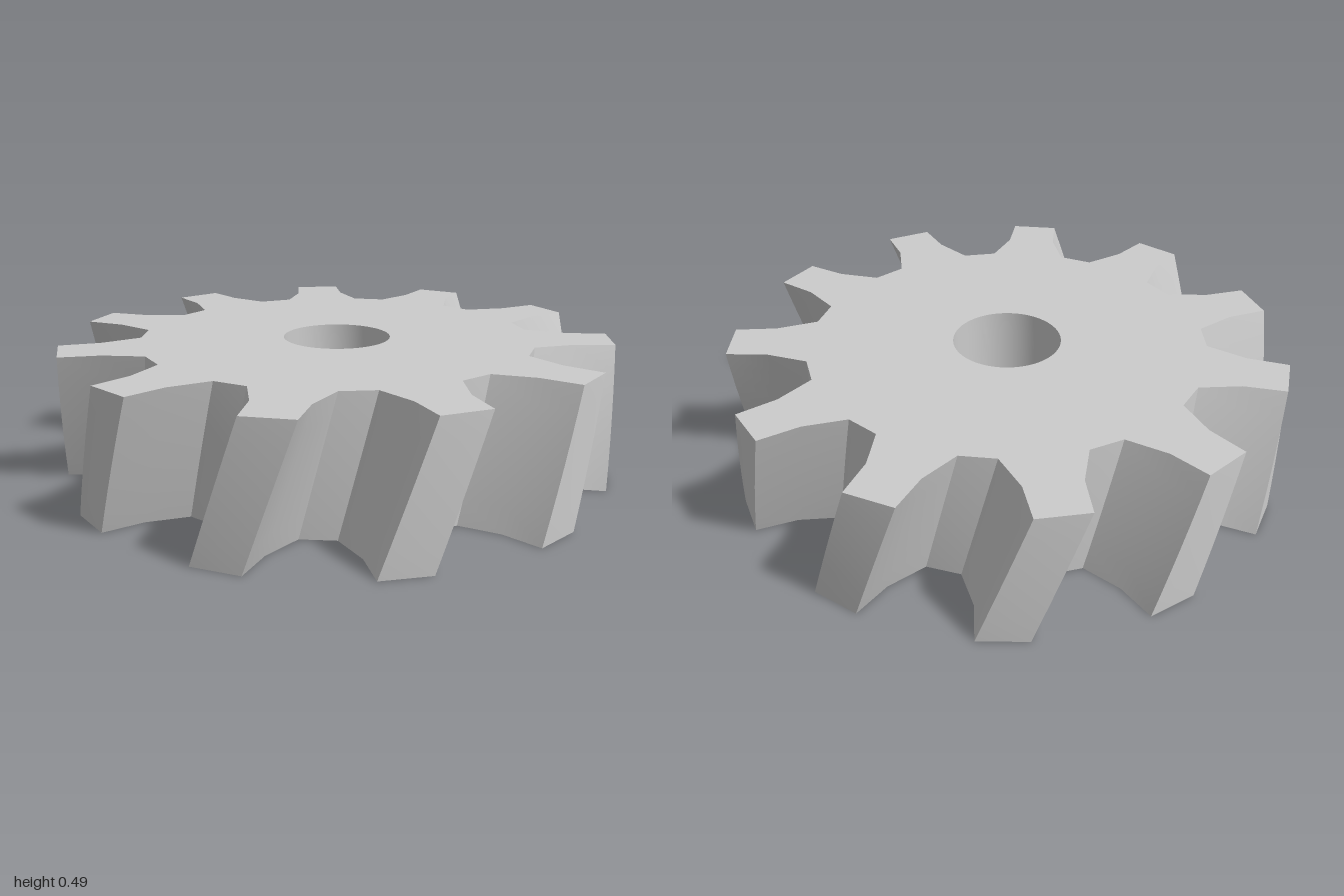
import * as THREE from 'three';
import { toCreasedNormals } from 'three/addons/utils/BufferGeometryUtils.js';

const TEETH = 11;
const HEIGHT = 0.49;
const BORE = 0.195;
const TWIST = THREE.MathUtils.degToRad(10);

// Half of one tooth: [degrees from the tooth's centre line, radius]
const FLANK = [[11.4, 0.718], [6.3, 0.853], [5.0, 1.0]];

// Point on the plan outline; angle 0 is the front, growing towards +x
function polar(degrees, radius) {
  const a = THREE.MathUtils.degToRad(degrees);
  return new THREE.Vector2(radius * Math.sin(a), -radius * Math.cos(a));
}

function gearShape() {
  const points = [];
  for (let i = 0; i < TEETH; i++) {
    const centre = (i * 360) / TEETH;
    for (const [a, r] of FLANK) points.push(polar(centre - a, r));
    for (const [a, r] of [...FLANK].reverse()) points.push(polar(centre + a, r));
  }
  const shape = new THREE.Shape(points);
  shape.holes.push(new THREE.Path().absarc(0, 0, BORE, 0, Math.PI * 2, true));
  return shape;
}

// Turn each level about the axle, so the teeth follow a helix
function twist(geometry) {
  const pos = geometry.attributes.position;
  const v = new THREE.Vector3();
  const axis = new THREE.Vector3(0, 1, 0);
  for (let i = 0; i < pos.count; i++) {
    v.fromBufferAttribute(pos, i);
    v.applyAxisAngle(axis, -TWIST * (1 - v.y / HEIGHT));
    pos.setXYZ(i, v.x, v.y, v.z);
  }
  return geometry;
}

export function createModel() {
  const group = new THREE.Group();
  group.name = 'helicalGear';

  // Toothed wheel with its axle bore
  const geometry = new THREE.ExtrudeGeometry(gearShape(), {
    depth: HEIGHT, steps: 6, curveSegments: 48, bevelEnabled: false,
  });
  geometry.rotateX(-Math.PI / 2);
  const wheel = new THREE.Mesh(
    toCreasedNormals(twist(geometry), 0.55),
    new THREE.MeshStandardMaterial({ color: 0xcccccc }),
  );
  wheel.name = 'toothedWheel';
  group.add(wheel);
  return group;
}
